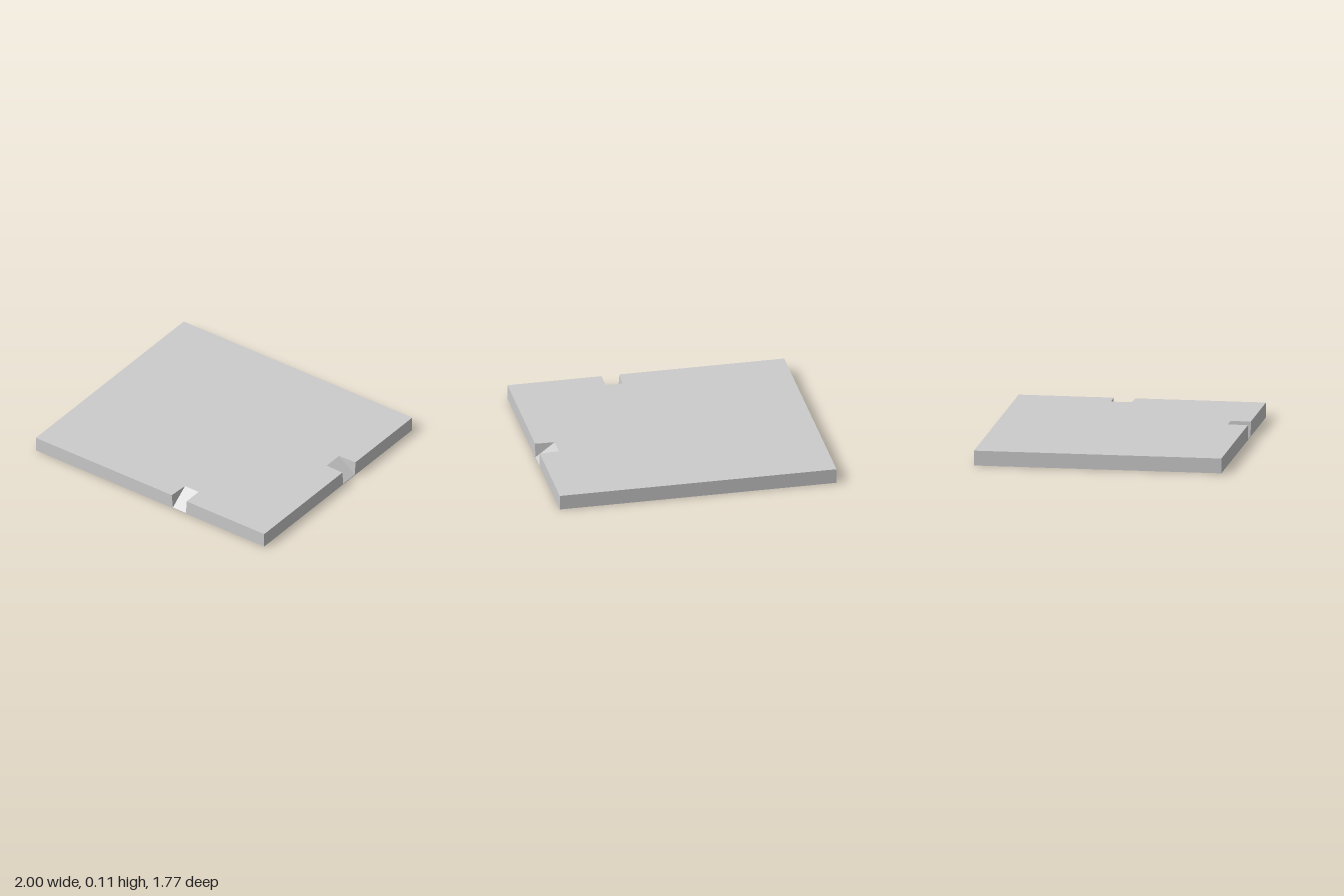
import * as THREE from 'three';

const W = 1, D = 0.885, H = 0.107, LOW = 0.005; // half width, half depth, thickness, notch lip height

// Flat polygon face (may be concave), wound so that it faces along the hint direction
function addFace(out, pts, hint) {
  const axis = hint.map(Math.abs).indexOf(Math.max(...hint.map(Math.abs)));
  const flat = pts.map((p) => new THREE.Vector2(...p.filter((_, i) => i !== axis)));
  const dir = new THREE.Vector3(...hint);
  for (const tri of THREE.ShapeUtils.triangulateShape(flat, [])) {
    const [a, b, c] = tri.map((i) => new THREE.Vector3(...pts[i]));
    const n = b.clone().sub(a).cross(c.clone().sub(a));
    for (const v of n.dot(dir) < 0 ? [a, c, b] : [a, b, c]) out.push(v.x, v.y, v.z);
  }
}

function makeMesh(name, faces) {
  const positions = [];
  for (const [pts, hint] of faces) addFace(positions, pts, hint);
  const geometry = new THREE.BufferGeometry();
  geometry.setAttribute('position', new THREE.Float32BufferAttribute(positions, 3));
  geometry.computeVertexNormals();
  const mesh = new THREE.Mesh(geometry, new THREE.MeshStandardMaterial({ color: 0xcccccc, flatShading: true }));
  mesh.name = name;
  return mesh;
}

export function createModel() {
  const group = new THREE.Group();
  group.name = 'notchedSlab';

  // Each notch: two upper rim corners, two lip corners and two inner corners of its ramp
  const front = {
    rim: [[0.19, H, D], [0.32, H, D]],
    lip: [[0.2, LOW, D], [0.315, LOW, D]],
    inner: [[0.2, H, 0.74], [0.32, H, 0.74]],
  };
  const side = {
    rim: [[W, H, -0.05], [W, H, -0.207]],
    lip: [[W, LOW, -0.06], [W, LOW, -0.2]],
    inner: [[0.86, H, -0.055], [0.86, H, -0.2]],
  };
  const around = (n) => [n.rim[0], n.inner[0], n.inner[1], n.rim[1]];
  const across = (n) => [n.rim[0], n.lip[0], n.lip[1], n.rim[1]];

  // Slab: top with cut-outs, base, and four edges
  group.add(makeMesh('slab', [
    [[[-W, H, -D], [-W, H, D], ...around(front), [W, H, D], ...around(side), [W, H, -D]], [0, 1, 0]],
    [[[-W, 0, -D], [W, 0, -D], [W, 0, D], [-W, 0, D]], [0, -1, 0]],
    [[[-W, 0, D], [-W, H, D], ...across(front), [W, H, D], [W, 0, D]], [0, 0, 1]],
    [[[W, 0, D], [W, H, D], ...across(side), [W, H, -D], [W, 0, -D]], [1, 0, 0]],
    [[[-W, 0, -D], [-W, H, -D], [W, H, -D], [W, 0, -D]], [0, 0, -1]],
    [[[-W, 0, -D], [-W, H, -D], [-W, H, D], [-W, 0, D]], [-1, 0, 0]],
  ]));

  // Notches: sloping ramp between two triangular cheeks
  for (const [name, n, along] of [['frontNotch', front, [1, 0, 0]], ['sideNotch', side, [0, 0, -1]]]) {
    const cheek = (i) => [n.rim[i], n.lip[i], n.inner[i]];
    group.add(makeMesh(name, [
      [[n.lip[0], n.lip[1], n.inner[1], n.inner[0]], [0, 1, 0]],
      [cheek(0), along],
      [cheek(1), along.map((v) => -v)],
    ]));
  }
  return group;
}
